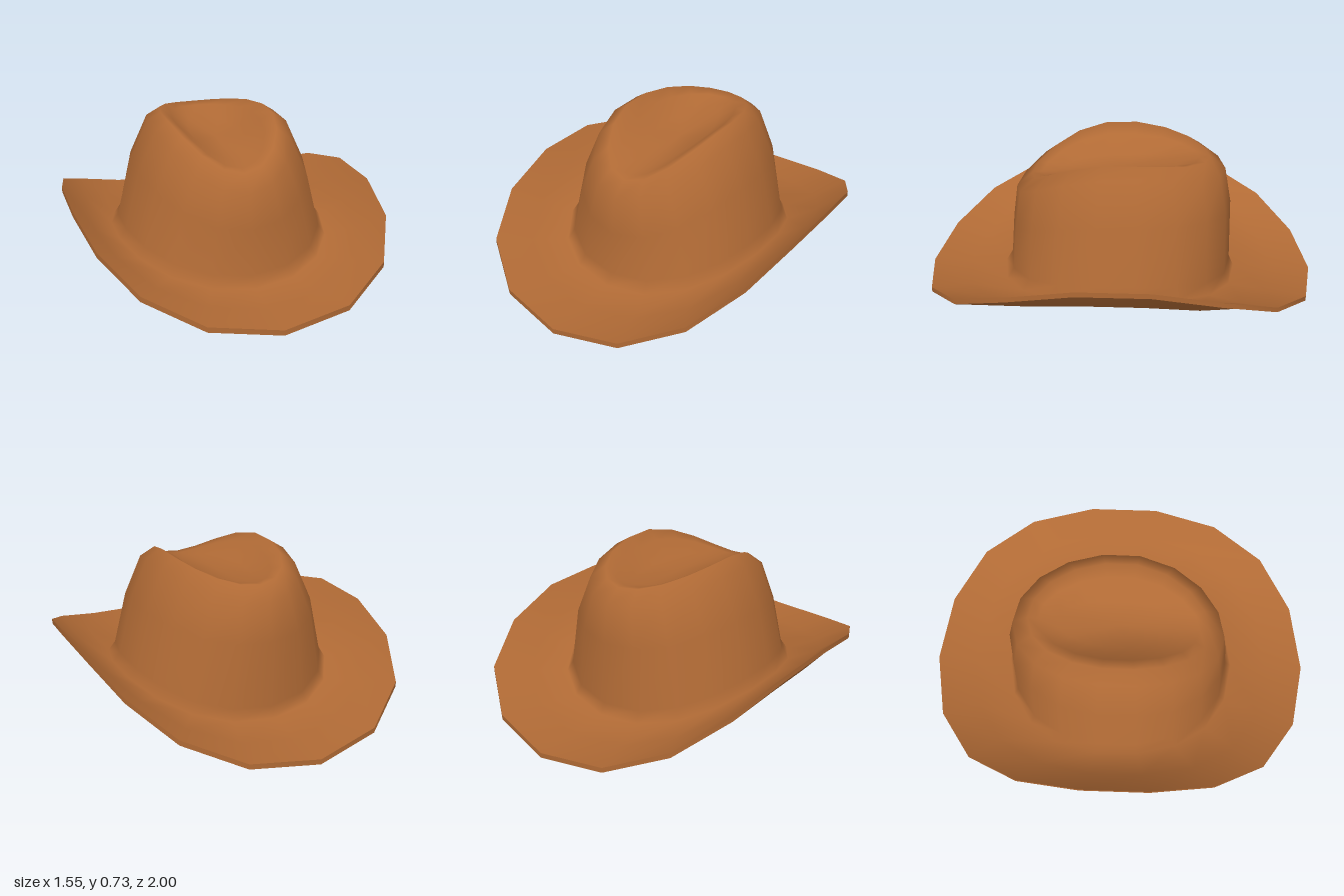
import * as THREE from 'three';

const SEG = 18;
const THICK = 0.026;

// Rings from brim edge to crown crease:
// half width, front z, back z, side y, front y, back y, side squeeze
const RINGS = [
  [0.78, 1.0, 1.0, 0.36, 0.027, 0.027, 0.22],
  [0.675, 0.8, 0.8, 0.24, 0.028, 0.028, 0.16],
  [0.545, 0.61, 0.6, 0.155, 0.035, 0.035, 0.1],
  [0.51, 0.575, 0.575, 0.205, 0.09, 0.09, 0.1],
  [0.44, 0.555, 0.565, 0.485, 0.31, 0.42, 0.08],
  [0.345, 0.53, 0.53, 0.69, 0.485, 0.605, 0.04],
  [0.275, 0.45, 0.45, 0.735, 0.56, 0.67, 0.02],
  [0.215, 0.4, 0.4, 0.695, 0.567, 0.66, 0],
  [0.125, 0.31, 0.31, 0.615, 0.577, 0.64, 0],
];
const CREASE_Y = 0.602;

// Oval ring that rises toward the sides
function ringPoint([w, zf, zb, ys, yf, yb, k], j) {
  const t = (j / SEG) * Math.PI * 2;
  const s = Math.sin(t), c = Math.cos(t);
  const x = (w * s * (1 - k * s * s)) / (1 - k);
  const y = ys * s * s + (c > 0 ? yf : yb) * c * c;
  return [x, y, c * (c > 0 ? zf : zb)];
}

function makeGeometry(positions, index) {
  const g = new THREE.BufferGeometry();
  g.setAttribute('position', new THREE.Float32BufferAttribute(positions, 3));
  g.setIndex(index);
  g.computeVertexNormals();
  return g;
}

export function createModel() {
  const group = new THREE.Group();
  group.name = 'wideBrimHat';
  const felt = new THREE.MeshStandardMaterial({ color: 0xb06a35 });
  const add = (name, geometry) => {
    const mesh = new THREE.Mesh(geometry, felt);
    mesh.name = name;
    group.add(mesh);
  };

  // Outer shell: brim, crown walls and pinched top in one smooth skin
  const pos = [], idx = [];
  for (const ring of RINGS) {
    for (let j = 0; j < SEG; j++) pos.push(...ringPoint(ring, j));
  }
  pos.push(0, CREASE_Y, 0);
  const centre = RINGS.length * SEG;
  for (let i = 0; i < RINGS.length; i++) {
    for (let j = 0; j < SEG; j++) {
      const n = (j + 1) % SEG;
      const a = i * SEG + j, b = i * SEG + n;
      if (i === RINGS.length - 1) idx.push(a, b, centre);
      else idx.push(a, b, b + SEG, a, b + SEG, a + SEG);
    }
  }
  const outer = makeGeometry(pos, idx);
  add('outerShell', outer);

  // Inner shell: the same skin moved inward and facing the other way
  const normal = outer.attributes.normal;
  const innerPos = pos.slice();
  for (let v = 0; v <= centre; v++) {
    if (v < SEG) {
      innerPos[v * 3 + 1] -= THICK;
      continue;
    }
    innerPos[v * 3] -= normal.getX(v) * THICK;
    innerPos[v * 3 + 1] -= normal.getY(v) * THICK;
    innerPos[v * 3 + 2] -= normal.getZ(v) * THICK;
  }
  add('innerShell', makeGeometry(innerPos, idx.slice().reverse()));

  // Thin edge joining both shells round the brim
  const edgePos = [...pos.slice(0, SEG * 3), ...innerPos.slice(0, SEG * 3)];
  const edgeIdx = [];
  for (let j = 0; j < SEG; j++) {
    const n = (j + 1) % SEG;
    edgeIdx.push(j, j + SEG, n + SEG, j, n + SEG, n);
  }
  add('brimEdge', makeGeometry(edgePos, edgeIdx));

  return group;
}
